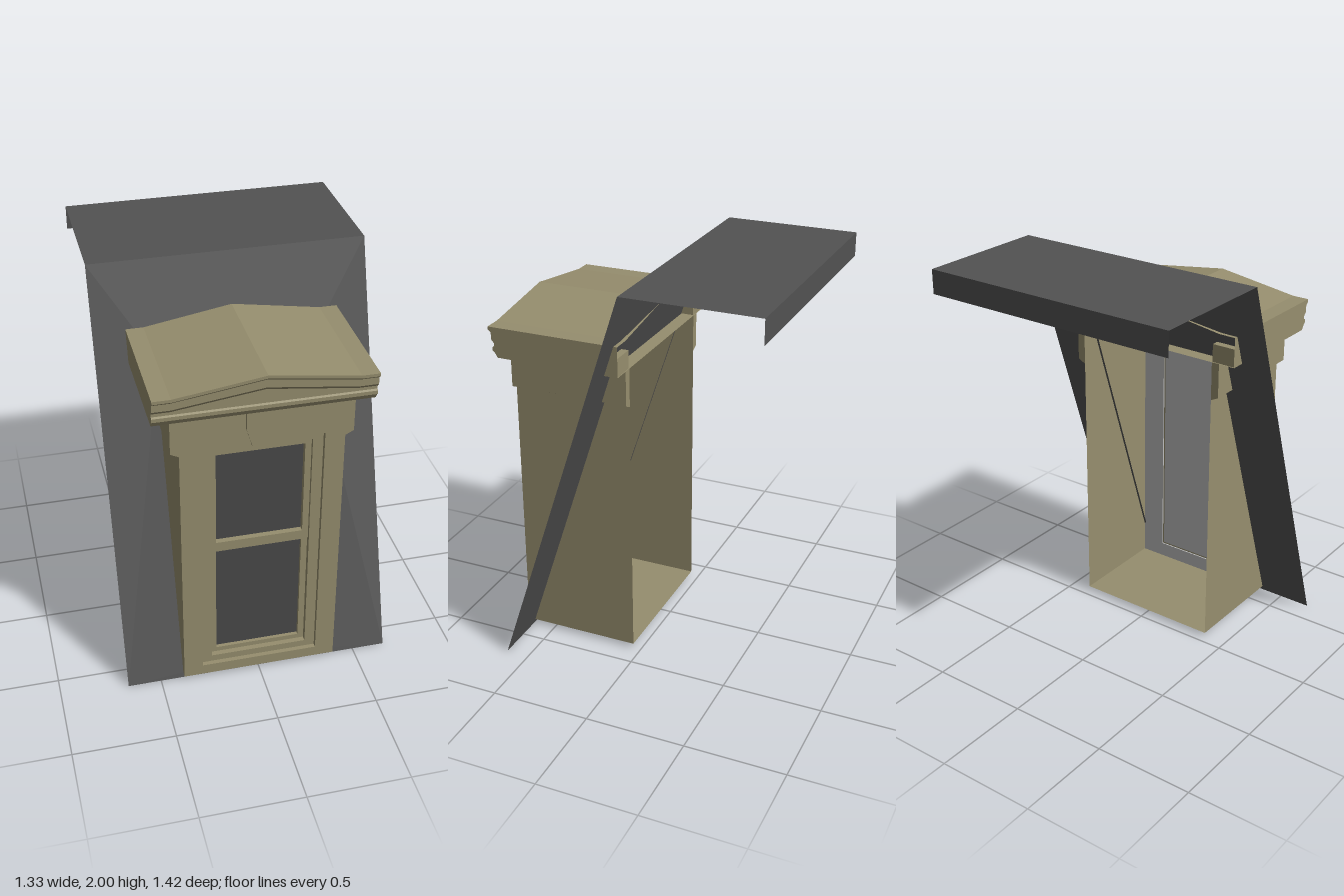
import * as THREE from 'three';

const makeMaterial = (name, color) => {
  const m = new THREE.MeshStandardMaterial({ color, side: THREE.DoubleSide });
  m.name = name;
  return m;
};

const polygon = (points) => new THREE.Shape(points.map(([x, y]) => new THREE.Vector2(x, y)));

// Symmetric rectangle, optionally with rectangular holes [halfWidth, bottom, top]
function rect([hw, y0, y1], holes = []) {
  const corners = ([w, a, b]) => [[-w, a], [w, a], [w, b], [-w, b]];
  const s = polygon(corners([hw, y0, y1]));
  for (const h of holes) s.holes.push(polygon(corners(h)));
  return s;
}

function extrude(shape, z0, z1) {
  const g = new THREE.ExtrudeGeometry(shape, { depth: z1 - z0, bevelEnabled: false });
  return g.translate(0, 0, z0);
}

// Cornice profile rows: [z, y, rise at the centre of the gable]
const CORNICE = [
  [0.04, 1.70, 0.06], [0.71, 1.70, 0.06], [0.71, 1.685, 0.06], [0.695, 1.672, 0.06],
  [0.695, 1.637, 0.055], [0.68, 1.62, 0.055], [0.68, 1.605, 0], [0.69, 1.60, 0],
  [0.69, 1.582, 0], [0.68, 1.575, 0], [0.665, 1.55, 0], [0.04, 1.55, 0],
];

// Sweep the profile across the width, lifting the raking rows at the centre
function corniceGeometry() {
  const columns = [[-0.51, 0], [-0.425, 0], [0, 1], [0.425, 0], [0.51, 0]];
  const at = ([x, k], [z, y, rise]) => [x, y + rise * k, z];
  const pos = [];
  for (let i = 0; i < columns.length - 1; i++) {
    for (let j = 0; j < CORNICE.length - 1; j++) {
      const a = at(columns[i], CORNICE[j]), b = at(columns[i + 1], CORNICE[j]);
      const c = at(columns[i + 1], CORNICE[j + 1]), d = at(columns[i], CORNICE[j + 1]);
      pos.push(...a, ...d, ...c, ...a, ...c, ...b);
    }
  }
  const g = new THREE.BufferGeometry();
  g.setAttribute('position', new THREE.Float32BufferAttribute(pos, 3));
  g.computeVertexNormals();
  return g;
}

export function createModel() {
  const model = new THREE.Group();
  model.name = 'roofDormer';
  const stone = makeMaterial('stone', 0x968e6e);
  const slate = makeMaterial('slate', 0x525252);
  const glass = makeMaterial('darkGlass', 0x4a4a4a);
  const lining = makeMaterial('paleLining', 0xbcbcbc);

  const add = (name, geometry, material) => {
    const mesh = new THREE.Mesh(geometry, material);
    mesh.name = name;
    model.add(mesh);
    return mesh;
  };
  const plane = (name, w, h, rx, ry, x, y, z, material) => {
    const mesh = add(name, new THREE.PlaneGeometry(w, h), material);
    mesh.rotation.set(rx, ry, 0);
    mesh.position.set(x, y, z);
  };

  // Steep roof sheet, leaning back, cut open behind the dormer
  const slope = new THREE.ShapeGeometry(rect([0.665, 0, 2], [[0.373, 0.025, 1.55]]));
  const p = slope.attributes.position;
  for (let i = 0; i < p.count; i++) p.setZ(i, 0.62 - 0.33 * p.getY(i));
  slope.computeVertexNormals();
  add('roofSlope', slope, slate);
  plane('roofTop', 1.33, 0.67, -Math.PI / 2, 0, 0, 2, -0.375, slate);
  plane('roofBackLip', 1.33, 0.12, 0, Math.PI, 0, 1.94, -0.71, slate);

  // Dormer box, open at the back
  for (const s of [-1, 1]) {
    plane('sideWall', 0.6, 1.525, 0, s * Math.PI / 2, s * 0.385, 0.7875, 0.34, stone);

    // Shoulder under the cornice
    const shoulder = polygon([[0.385, 1.355], [0.425, 1.375], [0.425, 1.55], [0.385, 1.55]]
      .map(([x, y]) => [s * x, y]));
    add('shoulder', extrude(shoulder, 0.04, 0.645), stone);

    // Cornice end face and its closed return behind the roof
    const end = new THREE.ShapeGeometry(polygon(CORNICE.map(([z, y]) => [-s * z, y])));
    end.rotateY(s * Math.PI / 2).translate(s * 0.51, 0, 0);
    add('corniceEnd', end, stone);
    const back = new THREE.BoxGeometry(0.12, 0.09, 0.1);
    add('corniceReturn', back.translate(s * 0.447, 1.597, 0.092), stone);
  }
  plane('floor', 0.77, 0.6, -Math.PI / 2, 0, 0, 0.025, 0.34, stone);
  add('cornice', corniceGeometry(), stone);

  // Front wall, casing and the two sashes, each set further back
  add('frontWall', extrude(rect([0.385, 0.025, 1.55], [[0.29, 0.08, 1.38]]), 0.6, 0.645), stone);
  add('casing', extrude(rect([0.3, 0.07, 1.39], [[0.24, 0.115, 1.34]]), 0.58, 0.622), stone);
  add('upperSash', extrude(rect([0.25, 0.76, 1.35], [[0.21, 0.81, 1.31]]), 0.575, 0.605), stone);
  add('lowerSash', extrude(rect([0.25, 0.105, 0.765], [[0.21, 0.14, 0.75]]), 0.575, 0.595), stone);
  for (const [y0, y1] of [[0.12, 0.77], [0.79, 1.33]]) {
    add('pane', extrude(rect([0.23, y0, y1]), 0.572, 0.577), glass);
  }

  // Inner side of the front wall with a narrow groove around the window
  add('innerBacking', extrude(rect([0.383, 0.027, 1.548]), 0.562, 0.568), stone);
  add('innerLining', extrude(rect([0.382, 0.027, 1.547], [[0.258, 0.105, 1.315]]), 0.554, 0.561), lining);
  add('innerPanel', extrude(rect([0.246, 0.117, 1.303]), 0.554, 0.561), lining);

  // Keystone over the window
  const keystone = polygon([[-0.05, 1.36], [0.05, 1.36], [0.08, 1.46], [0.08, 1.55], [-0.08, 1.55], [-0.08, 1.46]]);
  add('keystone', extrude(keystone, 0.6, 0.661), stone);

  return model;
}
